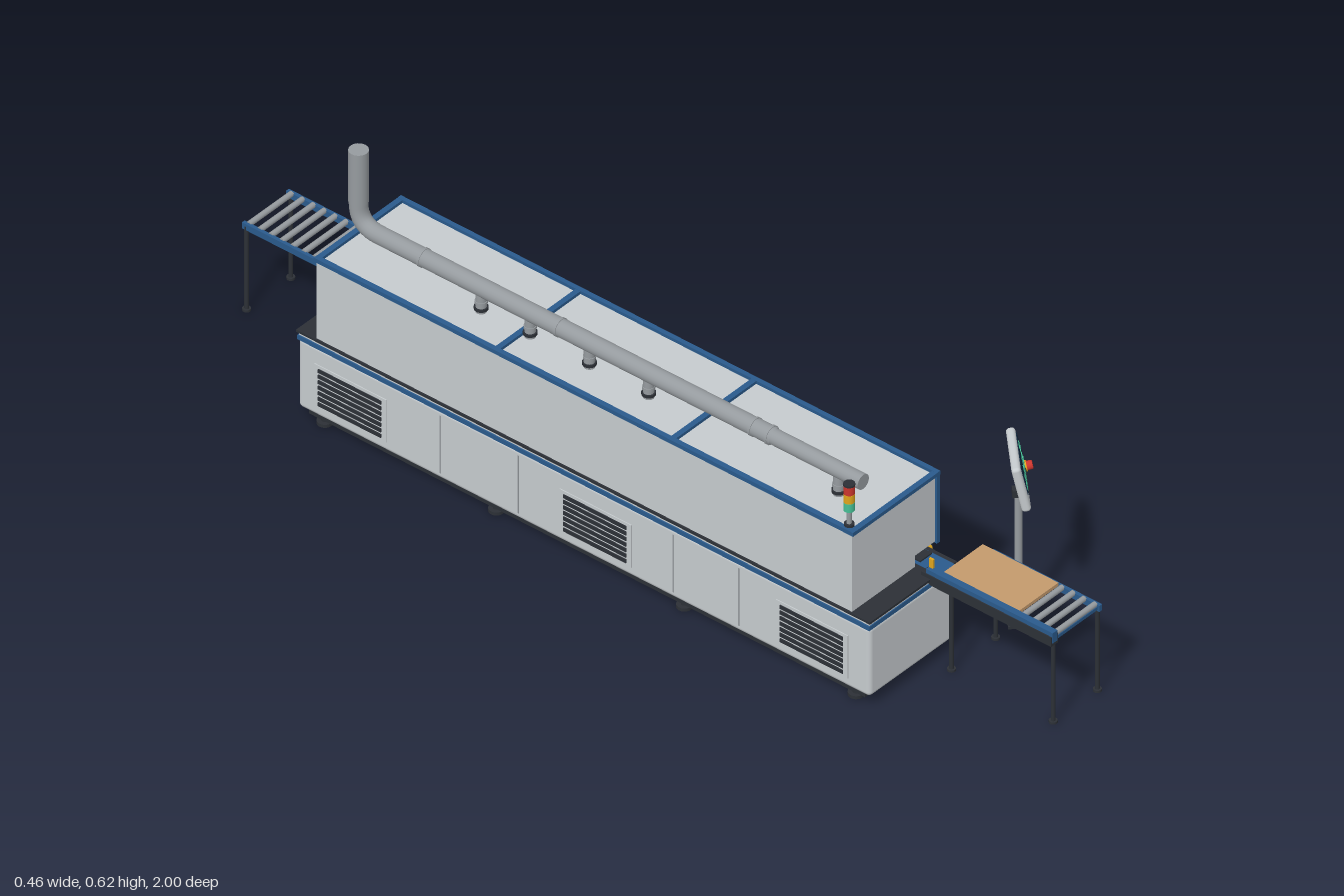
import * as THREE from 'three';
import { RoundedBoxGeometry } from 'three/addons/geometries/RoundedBoxGeometry.js';

const mat = (name, color) => {
  const m = new THREE.MeshStandardMaterial({ color });
  m.name = name;
  return m;
};
const M = {
  body: mat('light grey paint', 0xc6cbce),
  blue: mat('blue trim', 0x2a5a8c),
  dark: mat('dark steel', 0x2c3036),
  metal: mat('grey metal', 0x969b9f),
  wood: mat('wood board', 0xc49a6c),
  yellow: mat('warning yellow', 0xe0a51c),
  red: mat('signal red', 0xcc362e),
  green: mat('signal green', 0x46c096),
  screen: mat('screen navy', 0x10263c),
};

function add(parent, name, geo, m, x = 0, y = 0, z = 0) {
  const mesh = new THREE.Mesh(geo, m);
  mesh.name = name;
  mesh.position.set(x, y, z);
  parent.add(mesh);
  return mesh;
}
// box given by its limits on each axis
const box = (p, name, m, x0, x1, y0, y1, z0, z1) =>
  add(p, name, new THREE.BoxGeometry(x1 - x0, y1 - y0, z1 - z0), m, (x0 + x1) / 2, (y0 + y1) / 2, (z0 + z1) / 2);
// upright cylinder from y0 to y1
const post = (p, name, m, r, x, z, y0, y1, r2 = r, n = 20) =>
  add(p, name, new THREE.CylinderGeometry(r2, r, y1 - y0, n), m, x, (y0 + y1) / 2, z);
// roller lying along x
const roller = (p, name, m, r, x0, x1, y, z) => {
  const c = add(p, name, new THREE.CylinderGeometry(r, r, x1 - x0, 12), m, (x0 + x1) / 2, y, z);
  c.rotation.z = Math.PI / 2;
  return c;
};
function group(parent, name) {
  const g = new THREE.Group();
  g.name = name;
  parent.add(g);
  return g;
}
// warning triangle on a face looking along +x
function warning(p, x, y, z) {
  const t = add(p, 'warningTriangle', new THREE.CylinderGeometry(0.011, 0.011, 0.003, 3), M.yellow, x, y, z);
  t.rotation.set(0, 0, -Math.PI / 2);
  t.rotation.order = 'XYZ';
  t.geometry.rotateY(Math.PI / 2 + Math.PI);
}
// slotted vent on the front (s = 1) or back (s = -1) of the base
function vent(p, s, z, y) {
  const g = group(p, 'vent');
  const x = s > 0 ? 0.03 : -0.22;
  box(g, 'ventPanel', M.body, x - 0.002, x + 0.002, y - 0.05, y + 0.05, z - 0.088, z + 0.088);
  for (let i = 0; i < 7; i++) {
    const yy = y - 0.039 + i * 0.013;
    box(g, 'ventSlot', M.dark, x - 0.0045, x + 0.0045, yy - 0.004, yy + 0.004, z - 0.077, z + 0.077);
  }
}

function buildBase(root) {
  const g = group(root, 'base');
  const body = add(g, 'baseCabinet', new RoundedBoxGeometry(0.25, 0.162, 1.4, 3, 0.01), M.body, -0.095, 0.107, 0);
  body.name = 'baseCabinet';
  box(g, 'plinth', M.dark, -0.21, 0.02, 0.013, 0.03, -0.68, 0.68);
  box(g, 'blueBand', M.blue, -0.221, 0.031, 0.184, 0.194, -0.7, 0.7);
  box(g, 'deck', M.body, -0.218, 0.028, 0.194, 0.201, -0.698, 0.698);
  box(g, 'tableTop', M.dark, -0.222, -0.03, 0.201, 0.206, -0.702, 0.702);
  box(g, 'frontTable', M.dark, -0.03, 0.03, 0.198, 0.204, -0.702, 0.702);
  for (const z of [-0.65, -0.23, 0.23, 0.65]) for (const x of [-0.2, 0.01]) {
    post(g, 'foot', M.dark, 0.016, x, z, 0, 0.007);
    post(g, 'footStem', M.dark, 0.007, x, z, 0.007, 0.015);
  }
  // front vents, door seams, isolator and gauges
  for (const z of [0.29, -0.275]) {
    vent(g, 1, z, 0.108);
    warning(g, 0.032, 0.163, z);
  }
  for (const z of [0.43, 0.16, -0.115, -0.45]) box(g, 'doorSeam', M.metal, 0.028, 0.0308, 0.04, 0.175, z - 0.0015, z + 0.0015);
  for (const z of [0.45, -0.14]) {
    box(g, 'doorLatch', M.dark, 0.029, 0.035, 0.082, 0.094, z - 0.004, z + 0.004);
    box(g, 'doorLatch', M.dark, 0.029, 0.035, 0.106, 0.118, z - 0.004, z + 0.004);
  }
  for (const y of [0.155, 0.163]) box(g, 'smallSlot', M.dark, 0.029, 0.0325, y - 0.002, y + 0.002, 0.51, 0.575);
  box(g, 'gaugeFrame', M.dark, 0.029, 0.034, 0.095, 0.15, -0.6, -0.525);
  box(g, 'gaugeWindow', M.metal, 0.033, 0.0355, 0.112, 0.135, -0.575, -0.545);
  add(g, 'supplyBox', new RoundedBoxGeometry(0.022, 0.032, 0.04, 2, 0.004), M.body, 0.046, 0.121, 0.5);
  // back vents and seams
  for (const z of [-0.57, 0.03, 0.56]) vent(g, -1, z, 0.098);
  for (const z of [-0.35, -0.16, 0.22, 0.38]) box(g, 'backSeam', M.metal, -0.2208, -0.218, 0.04, 0.175, z - 0.0015, z + 0.0015);
}

function buildHood(root) {
  const g = group(root, 'hood');
  // cross-section with a notch over the work path
  const s = new THREE.Shape();
  [[-0.218, 0.206], [-0.035, 0.206], [-0.035, 0.232], [0.027, 0.232], [0.027, 0.388], [-0.218, 0.388]]
    .forEach(([x, y], i) => (i ? s.lineTo(x, y) : s.moveTo(x, y)));
  const geo = new THREE.ExtrudeGeometry(s, { depth: 1.31, bevelEnabled: false });
  add(g, 'hoodShell', geo, M.body, 0, 0, -0.655);
  // top frame and cross bars
  for (const [a, b] of [[-0.221, -0.21], [0.022, 0.032]]) box(g, 'topRail', M.blue, a, b, 0.386, 0.395, -0.66, 0.66);
  for (const z of [-0.654, -0.218, 0.212, 0.654]) box(g, 'topBar', M.blue, -0.22, 0.031, 0.386, 0.3945, z - 0.006, z + 0.006);
  // front door frame
  for (const z of [-0.654, -0.218, 0.212, 0.654]) box(g, 'doorPost', M.blue, 0.022, 0.0315, 0.23, 0.39, z - 0.006, z + 0.006);
  box(g, 'doorSill', M.blue, 0.022, 0.0315, 0.229, 0.238, -0.66, 0.66);
  for (const z of [0.242, -0.19, -0.625]) {
    box(g, 'handle', M.metal, 0.034, 0.039, 0.286, 0.335, z - 0.003, z + 0.003);
    for (const y of [0.292, 0.329]) box(g, 'handleMount', M.dark, 0.026, 0.036, y - 0.003, y + 0.003, z - 0.003, z + 0.003);
  }
  for (const z of [0.38, -0.06, -0.38]) if (z !== -0.06) warning(g, 0.029, 0.363, z);
  // pressure beam above the boards
  box(g, 'pressureBeam', M.dark, -0.012, 0.012, 0.22, 0.232, -0.64, 0.64);
}

function buildDuct(root) {
  const g = group(root, 'exhaustDuct');
  const X = -0.138, Y = 0.445;
  const path = new THREE.CurvePath();
  const v = (y, z) => new THREE.Vector3(X, y, z);
  path.add(new THREE.LineCurve3(v(Y, 0.4), v(Y, -0.57)));
  path.add(new THREE.QuadraticBezierCurve3(v(Y, -0.57), v(Y, -0.62), v(Y + 0.05, -0.62)));
  path.add(new THREE.LineCurve3(v(Y + 0.05, -0.62), v(0.62, -0.62)));
  add(g, 'mainPipe', new THREE.TubeGeometry(path, 120, 0.0185, 20), M.metal);
  post(g, 'outlet', M.metal, 0.0195, X, -0.62, 0.5, 0.62, 0.0195, 24);
  const end = post(g, 'narrowPipe', M.metal, 0.0165, X, 0.5, 0, 0.23);
  end.position.y = Y;
  end.rotation.x = Math.PI / 2;
  for (const z of [0.39, 0.35, -0.126, -0.46]) {
    const c = add(g, 'pipeCollar', new THREE.CylinderGeometry(0.0198, 0.0198, 0.006, 20), M.metal, X, Y, z);
    c.rotation.x = Math.PI / 2;
  }
  for (const z of [0.555, 0.09, -0.055, -0.2, -0.32]) {
    post(g, 'stubPipe', M.metal, 0.011, X, z, 0.388, 0.436);
    post(g, 'stubCollar', M.dark, 0.014, X, z, 0.394, 0.4);
    post(g, 'stubRing', M.metal, 0.0125, X, z, 0.408, 0.414);
  }
}

function buildSignal(root) {
  const g = group(root, 'signalTower');
  const x = -0.206, z = 0.638;
  post(g, 'signalFoot', M.dark, 0.01, x, z, 0.393, 0.4);
  post(g, 'signalPole', M.metal, 0.005, x, z, 0.4, 0.431);
  [M.green, M.yellow, M.red].forEach((m, i) => post(g, 'signalLamp', m, 0.011, x, z, 0.431 + i * 0.0195, 0.45 + i * 0.0195));
  post(g, 'signalCap', M.dark, 0.0115, x, z, 0.489, 0.493);
}

function buildWorkPath(root) {
  const g = group(root, 'feedPath');
  // feed chain with pads
  box(g, 'chainBed', M.blue, -0.025, 0.02, 0.194, 0.205, -0.73, 0.73);
  for (let z = -0.64; z <= 0.641; z += 0.032) box(g, 'chainPad', M.dark, -0.018, 0.016, 0.204, 0.2085, z - 0.013, z + 0.013);
  // outer roller support
  box(g, 'supportBeam', M.blue, 0.052, 0.084, 0.19, 0.203, -0.585, 0.585);
  for (let z = -0.57; z <= 0.571; z += 0.03) roller(g, 'supportRoller', M.dark, 0.008, 0.051, 0.086, 0.2, z);
  for (const z of [0.48, 0, -0.48]) {
    const brace = box(g, 'brace', M.dark, -0.0045, 0.0045, -0.043, 0.043, -0.005, 0.005);
    brace.position.set(0.052, 0.153, z);
    brace.rotation.z = -0.55;
    box(g, 'braceArm', M.dark, 0.03, 0.082, 0.183, 0.191, z - 0.005, z + 0.005);
  }
  for (const s of [-1, 1]) {
    const k = roller(g, 'guideKnob', M.yellow, 0.012, 0.03, 0.044, 0.189, s * 0.62);
    k.name = 'guideKnob';
    roller(g, 'knobHub', M.dark, 0.007, 0.044, 0.05, 0.189, s * 0.62);
    post(g, 'guideWheel', M.metal, 0.009, 0.038, s * 0.61, 0.2, 0.21);
  }
  // boards being worked
  for (const z of [-0.405, -0.005, 0.405]) box(g, 'board', M.wood, -0.03, 0.087, 0.2085, 0.216, z - 0.095, z + 0.095);
  box(g, 'board', M.wood, -0.028, 0.09, 0.2085, 0.216, 0.715, 0.9);
}

function buildTable(root, s) {
  const g = group(root, s > 0 ? 'infeedTable' : 'outfeedTable');
  const za = s > 0 ? 0.73 : -0.995, zb = za + 0.265;
  for (const x of [-0.028, 0.1]) {
    box(g, 'sideRail', M.blue, x - 0.004, x + 0.004, 0.19, 0.204, za, zb);
    for (const z of [za + 0.008, zb - 0.008]) {
      post(g, 'tableLeg', M.dark, 0.0045, x, z, 0.004, 0.198);
      post(g, 'legPad', M.dark, 0.0085, x, z, 0, 0.005);
    }
  }
  for (const z of [za + 0.008, zb - 0.008]) box(g, 'endRail', M.blue, -0.026, 0.098, 0.192, 0.199, z - 0.003, z + 0.003);
  for (let i = 0; i < 10; i++) roller(g, 'tableRoller', M.metal, 0.006, -0.026, 0.098, 0.202, za + 0.012 + i * 0.0268);
  if (s > 0) {
    // guide fence
    box(g, 'fence', M.blue, -0.045, -0.031, 0.2, 0.224, 0.69, 1.0);
    box(g, 'fenceBlock', M.dark, -0.047, -0.027, 0.192, 0.214, 0.68, 0.998);
    box(g, 'fenceStop', M.yellow, -0.037, -0.032, 0.222, 0.244, 0.69, 0.7);
  }
}

function buildConsole(root) {
  const g = group(root, 'controlConsole');
  g.position.set(0.166, 0, 0.738);
  g.rotation.y = Math.PI / 4;
  box(g, 'consoleFoot', M.dark, -0.021, 0.021, 0, 0.006, -0.021, 0.021);
  post(g, 'consolePole', M.metal, 0.0075, 0, 0, 0.006, 0.31);
  box(g, 'consoleBracket', M.dark, -0.009, 0.009, 0.298, 0.314, -0.012, 0.01);
  const p = group(g, 'consoleHead');
  p.position.y = 0.358;
  p.rotation.x = -0.21;
  add(p, 'consoleCase', new RoundedBoxGeometry(0.136, 0.104, 0.018, 3, 0.007), M.body);
  box(p, 'screen', M.screen, -0.056, 0.056, -0.021, 0.045, 0.007, 0.0105);
  [0.016, 0.026, 0.021, 0.032, 0.024, 0.036].forEach((h, i) =>
    box(p, 'chartBar', M.green, -0.049 + i * 0.0105, -0.042 + i * 0.0105, -0.016, -0.016 + h, 0.01, 0.0115));
  for (let i = 0; i < 6; i++) box(p, 'readoutLine', M.green, 0.02, 0.05 - (i % 3) * 0.005, -0.014 + i * 0.0095, -0.01 + i * 0.0095, 0.01, 0.0115);
  for (let i = 0; i < 6; i++) box(p, 'key', M.dark, -0.03 + i * 0.012, -0.02 + i * 0.012, -0.036, -0.029, 0.007, 0.011);
  const stopBase = add(p, 'stopButtonBase', new THREE.CylinderGeometry(0.011, 0.011, 0.006, 20), M.yellow, 0.054, -0.036, 0.01);
  const stop = add(p, 'stopButton', new THREE.CylinderGeometry(0.0085, 0.0095, 0.014, 20), M.red, 0.054, -0.036, 0.017);
  stopBase.rotation.x = stop.rotation.x = Math.PI / 2;
}

export function createModel() {
  const root = new THREE.Group();
  root.name = 'edgeBandingMachine';
  buildBase(root);
  buildHood(root);
  buildDuct(root);
  buildSignal(root);
  buildWorkPath(root);
  for (const s of [1, -1]) buildTable(root, s);
  buildConsole(root);
  return root;
}
